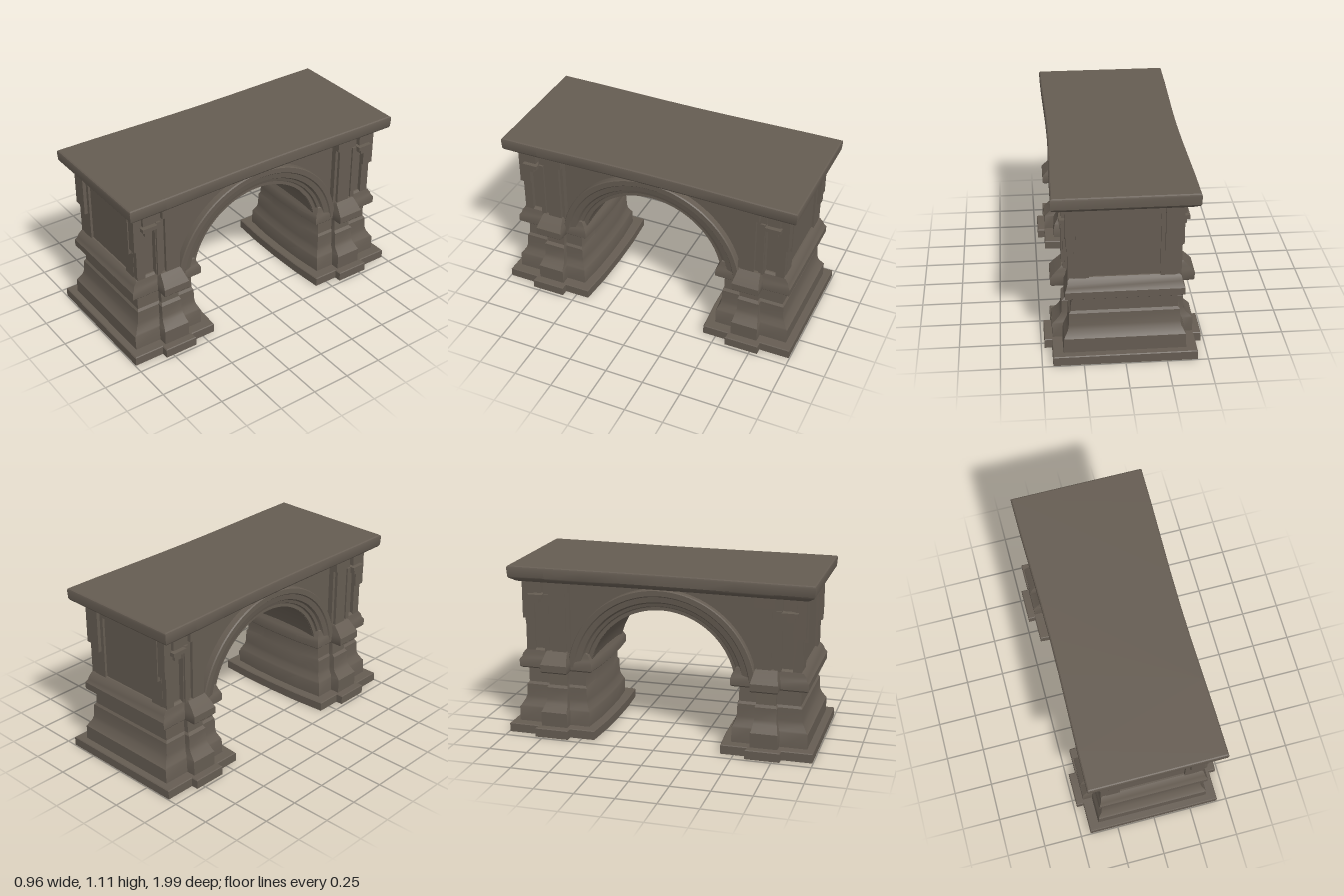
import * as THREE from 'three';
import { toCreasedNormals } from 'three/addons/utils/BufferGeometryUtils.js';

const stone = new THREE.MeshStandardMaterial({ color: 0x655c52 });
stone.name = 'brown stone';

function add(group, name, geometry) {
  const mesh = new THREE.Mesh(geometry, stone);
  mesh.name = name;
  group.add(mesh);
  return mesh;
}

function box(group, name, x0, x1, y0, y1, z0, z1) {
  const g = new THREE.BoxGeometry(x1 - x0, y1 - y0, z1 - z0);
  return add(group, name, g).position.set((x0 + x1) / 2, (y0 + y1) / 2, (z0 + z1) / 2);
}

// Stacks plan outlines ({ y, loop of [x, z] }, counter-clockwise from above) into a capped solid
function loft(levels) {
  const pos = [];
  const put = (l, i) => pos.push(l.loop[i][0], l.y, l.loop[i][1]);
  const n = levels[0].loop.length;
  for (let k = 0; k < levels.length - 1; k++) {
    const lo = levels[k], hi = levels[k + 1];
    for (let i = 0; i < n; i++) {
      const j = (i + 1) % n;
      put(lo, i); put(lo, j); put(hi, j);
      put(lo, i); put(hi, j); put(hi, i);
    }
  }
  const cap = (l, up) => {
    const flat = l.loop.map(([x, z]) => new THREE.Vector2(x, -z));
    for (const [a, b, c] of THREE.ShapeUtils.triangulateShape(flat, [])) {
      put(l, a); put(l, up ? b : c); put(l, up ? c : b);
    }
  };
  cap(levels[0], false);
  cap(levels[levels.length - 1], true);
  const g = new THREE.BufferGeometry();
  g.setAttribute('position', new THREE.Float32BufferAttribute(pos, 3));
  return toCreasedNormals(g, 0.5);
}

// Pier plan: body half width w, pilaster half width p over z2..z1, bowed inner face
function pierLevel([y, w, p, zo, z1, z2, zi]) {
  const right = [[w, zo], [w, z1], [p, z1], [p, z2], [w, z2], [w, zi + 0.02], [w / 2, zi + 0.004]];
  const left = right.map(([x, z]) => [-x, z]).reverse();
  return { y, loop: [...right, [0, zi], ...left] };
}

const pierProfile = [
  [0.00, 0.435, 0.48, 0.995, 0.80, 0.58, 0.395],
  [0.055, 0.435, 0.48, 0.995, 0.80, 0.58, 0.395],
  [0.06, 0.43, 0.475, 0.99, 0.795, 0.585, 0.40],
  [0.061, 0.37, 0.43, 0.95, 0.775, 0.60, 0.45],
  [0.155, 0.365, 0.43, 0.95, 0.775, 0.60, 0.45],
  [0.165, 0.36, 0.42, 0.94, 0.77, 0.605, 0.455],
  [0.20, 0.34, 0.385, 0.92, 0.76, 0.61, 0.47],
  [0.225, 0.335, 0.372, 0.91, 0.755, 0.615, 0.475],
  [0.305, 0.332, 0.37, 0.905, 0.755, 0.615, 0.478],
  [0.32, 0.32, 0.352, 0.895, 0.745, 0.62, 0.485],
  [0.415, 0.315, 0.345, 0.895, 0.745, 0.62, 0.485],
  [0.42, 0.345, 0.425, 0.93, 0.765, 0.60, 0.445],
  [0.43, 0.355, 0.435, 0.945, 0.77, 0.595, 0.435],
  [0.475, 0.355, 0.435, 0.945, 0.77, 0.595, 0.435],
  [0.495, 0.345, 0.418, 0.93, 0.765, 0.60, 0.445],
  [0.515, 0.34, 0.40, 0.925, 0.76, 0.605, 0.455],
  [0.54, 0.335, 0.375, 0.905, 0.755, 0.61, 0.465],
  [0.55, 0.32, 0.365, 0.895, 0.75, 0.615, 0.475],
];

function createPier() {
  const pier = new THREE.Group();
  pier.name = 'pier';
  add(pier, 'pierBase', loft(pierProfile.map(pierLevel)));

  // End wall: raised frame around a sunken panel
  box(pier, 'panelTopRail', -0.33, 0.33, 0.955, 1.01, 0.87, 0.9);
  for (const s of [-1, 1]) {
    const side = (name, a, b, ...rest) => box(pier, name, Math.min(s * a, s * b), Math.max(s * a, s * b), ...rest);
    side('panelStile', 0.21, 0.30, 0.53, 0.96, 0.87, 0.9);
    side('cornerPost', 0.29, 0.335, 0.53, 1.01, 0.84, 0.898);
    side('innerDrop', 0.235, 0.288, 0.72, 1.01, 0.88, 0.922);
    side('outerDrop', 0.286, 0.345, 0.755, 1.01, 0.84, 0.915);

    // Side pilaster with its shaft, capital and small brackets
    side('pilasterBack', 0.28, 0.345, 0.54, 1.01, 0.60, 0.77);
    side('pilasterShaft', 0.30, 0.365, 0.54, 1.01, 0.62, 0.71);
    side('pilasterRib', 0.30, 0.357, 0.54, 0.92, 0.735, 0.765);
    side('capital', 0.30, 0.372, 0.94, 1.01, 0.60, 0.73);
    side('bracket', 0.30, 0.365, 0.93, 1.01, 0.78, 0.86);
    side('bracketLedge', 0.30, 0.38, 0.895, 0.92, 0.77, 0.87);
    side('bracketFoot', 0.30, 0.365, 0.86, 0.90, 0.80, 0.85);
  }
  return pier;
}

// Arch centre, opening radius and outer radius of the moulding
const CY = 0.38, R = 0.48, STEPS = 48;

// Upper wall with the arched opening cut through
function wallGeometry() {
  const half = 0.31;
  const shape = new THREE.Shape();
  shape.moveTo(-0.885, 0.5);
  const a = Math.asin((0.5 - CY) / R);
  shape.lineTo(-R * Math.cos(a), 0.5);
  shape.absarc(0, CY, R, Math.PI - a, a, true);
  shape.lineTo(0.885, 0.5);
  shape.lineTo(0.885, 1.01);
  shape.lineTo(-0.885, 1.01);
  const g = new THREE.ExtrudeGeometry(shape, { depth: half * 2, bevelEnabled: false, curveSegments: STEPS });
  g.translate(0, 0, -half);
  g.rotateY(Math.PI / 2);
  return toCreasedNormals(g, 0.5);
}

// Stepped moulding swept around the arch on the +x side; profile is [radius, x]
function mouldingGeometry() {
  const profile = [[0.479, 0.25], [0.479, 0.30], [0.505, 0.312], [0.51, 0.325], [0.53, 0.33],
    [0.54, 0.345], [0.575, 0.35], [0.582, 0.358], [0.615, 0.358], [0.62, 0.35], [0.62, 0.30]];
  const pos = [];
  const put = ([r, x], t) => pos.push(x, CY + r * Math.sin(t), r * Math.cos(t));
  const start = 0.12, span = Math.PI - 2 * start;
  for (let i = 0; i < STEPS; i++) {
    const t0 = start + span * i / STEPS, t1 = start + span * (i + 1) / STEPS;
    for (let k = 0; k < profile.length - 1; k++) {
      const p = profile[k], q = profile[k + 1];
      put(p, t0); put(q, t0); put(q, t1);
      put(p, t0); put(q, t1); put(p, t1);
    }
  }
  const g = new THREE.BufferGeometry();
  g.setAttribute('position', new THREE.Float32BufferAttribute(pos, 3));
  // Make the faces look outward: the broad front face must point along +x
  g.computeVertexNormals();
  let sum = 0;
  for (let i = 0; i < g.attributes.normal.count; i++) sum += g.attributes.normal.getX(i);
  if (sum < 0) {
    for (let i = 0; i < pos.length; i += 9) {
      for (let c = 0; c < 3; c++) [pos[i + 3 + c], pos[i + 6 + c]] = [pos[i + 6 + c], pos[i + 3 + c]];
    }
    g.setAttribute('position', new THREE.Float32BufferAttribute(pos, 3));
  }
  return toCreasedNormals(g, 0.4);
}

// Deck slab outline, slightly narrower at mid-span
function deckLevel([y, w, d]) {
  const right = [];
  for (let i = 0; i <= 8; i++) {
    const t = 1 - i / 4;
    right.push([w - 0.016 * Math.cos(t * Math.PI / 2) ** 2, t * d]);
  }
  return { y, loop: [...right, ...right.map(([x, z]) => [-x, z]).reverse()] };
}

export function createModel() {
  const model = new THREE.Group();
  model.name = 'archBridge';

  const front = createPier();
  const back = createPier();
  front.name = 'frontPier';
  back.name = 'backPier';
  back.rotation.y = Math.PI;
  model.add(front, back);

  add(model, 'archWall', wallGeometry());
  const moulding = mouldingGeometry();
  add(model, 'leftArchMoulding', moulding);
  add(model, 'rightArchMoulding', moulding).rotation.y = Math.PI;

  add(model, 'deck', loft([
    [1.0, 0.365, 0.91], [1.005, 0.385, 0.93], [1.03, 0.422, 0.968], [1.04, 0.428, 0.975],
    [1.095, 0.43, 0.98], [1.105, 0.427, 0.977], [1.11, 0.42, 0.97],
  ].map(deckLevel)));
  return model;
}
